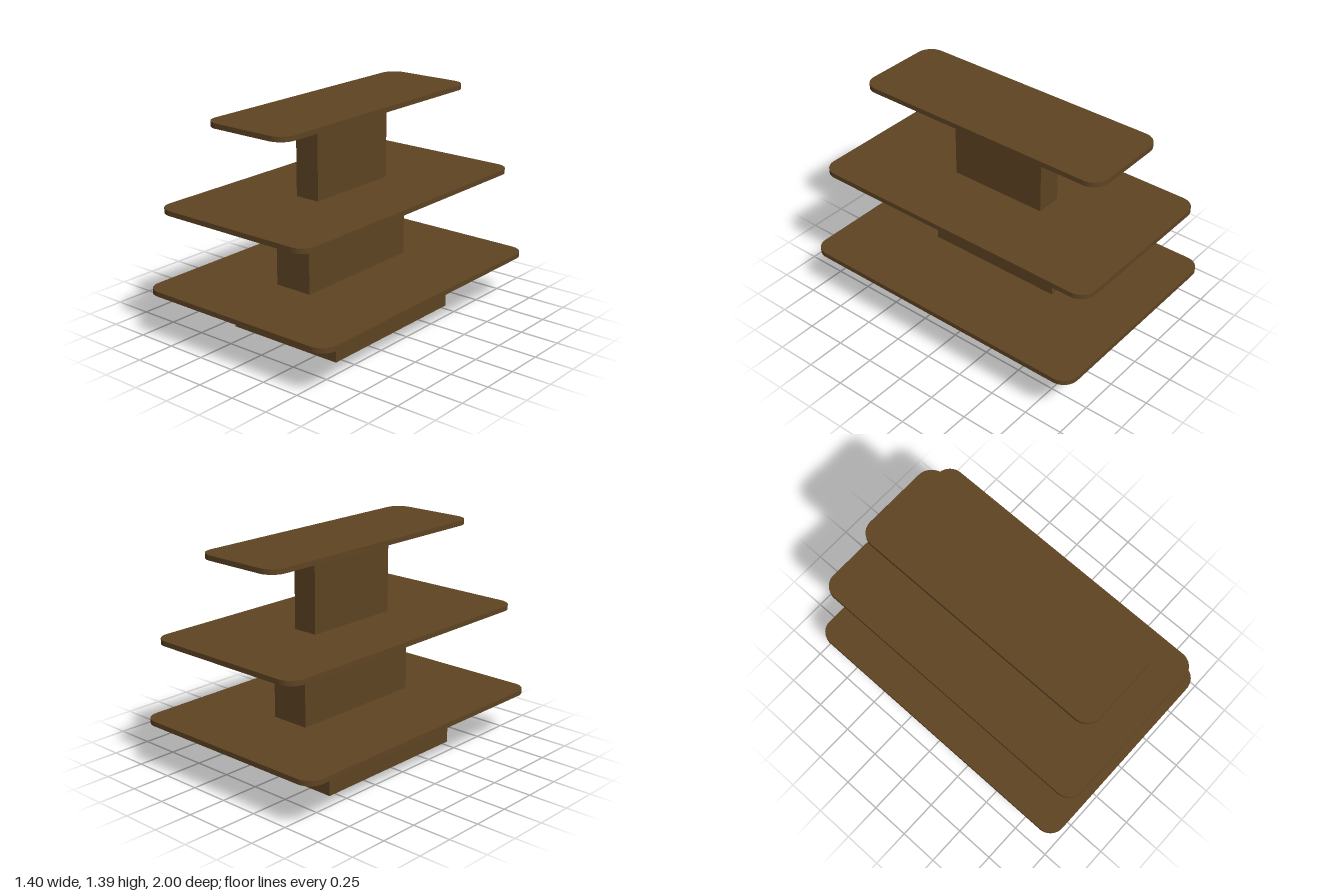
import * as THREE from 'three';
import { toCreasedNormals } from 'three/addons/utils/BufferGeometryUtils.js';

// Flat board with rounded corners, lying in the xz plane
function boardGeometry(width, depth, thickness, r) {
  const x = width / 2, y = depth / 2;
  const s = new THREE.Shape();
  s.moveTo(-x + r, -y);
  s.lineTo(x - r, -y);
  s.absarc(x - r, -y + r, r, -Math.PI / 2, 0, false);
  s.lineTo(x, y - r);
  s.absarc(x - r, y - r, r, 0, Math.PI / 2, false);
  s.lineTo(-x + r, y);
  s.absarc(-x + r, y - r, r, Math.PI / 2, Math.PI, false);
  s.lineTo(-x, -y + r);
  s.absarc(-x + r, -y + r, r, Math.PI, Math.PI * 1.5, false);
  const g = new THREE.ExtrudeGeometry(s, { depth: thickness, bevelEnabled: false, curveSegments: 10 });
  g.rotateX(-Math.PI / 2);
  return toCreasedNormals(g, Math.PI / 6);
}

export function createModel() {
  const group = new THREE.Group();
  const wood = new THREE.MeshStandardMaterial({ color: 0x5f4423 });
  wood.name = 'darkWood';

  const add = (name, geometry, x, y, z) => {
    const mesh = new THREE.Mesh(geometry, wood);
    mesh.name = name;
    mesh.position.set(x, y, z);
    group.add(mesh);
  };

  // Shelves: name, width, depth, underside height, z offset
  const shelves = [
    ['lowerShelf', 1.4, 2, 0.291, 0],
    ['middleShelf', 1.13, 2, 0.825, 0],
    ['upperShelf', 0.6, 1.732, 1.357, -0.002],
  ];
  for (const [name, w, d, y, z] of shelves) add(name, boardGeometry(w, d, 0.031, 0.1), 0, y, z);

  // Supports: name, width, depth, bottom, top
  const supports = [
    ['basePlinth', 0.81, 1.095, 0, 0.291],
    ['lowerColumn', 0.255, 0.917, 0.322, 0.825],
    ['upperColumn', 0.165, 0.648, 0.856, 1.357],
  ];
  for (const [name, w, d, y0, y1] of supports) {
    add(name, new THREE.BoxGeometry(w, y1 - y0, d), -0.003, (y0 + y1) / 2, 0.002);
  }
  return group;
}
